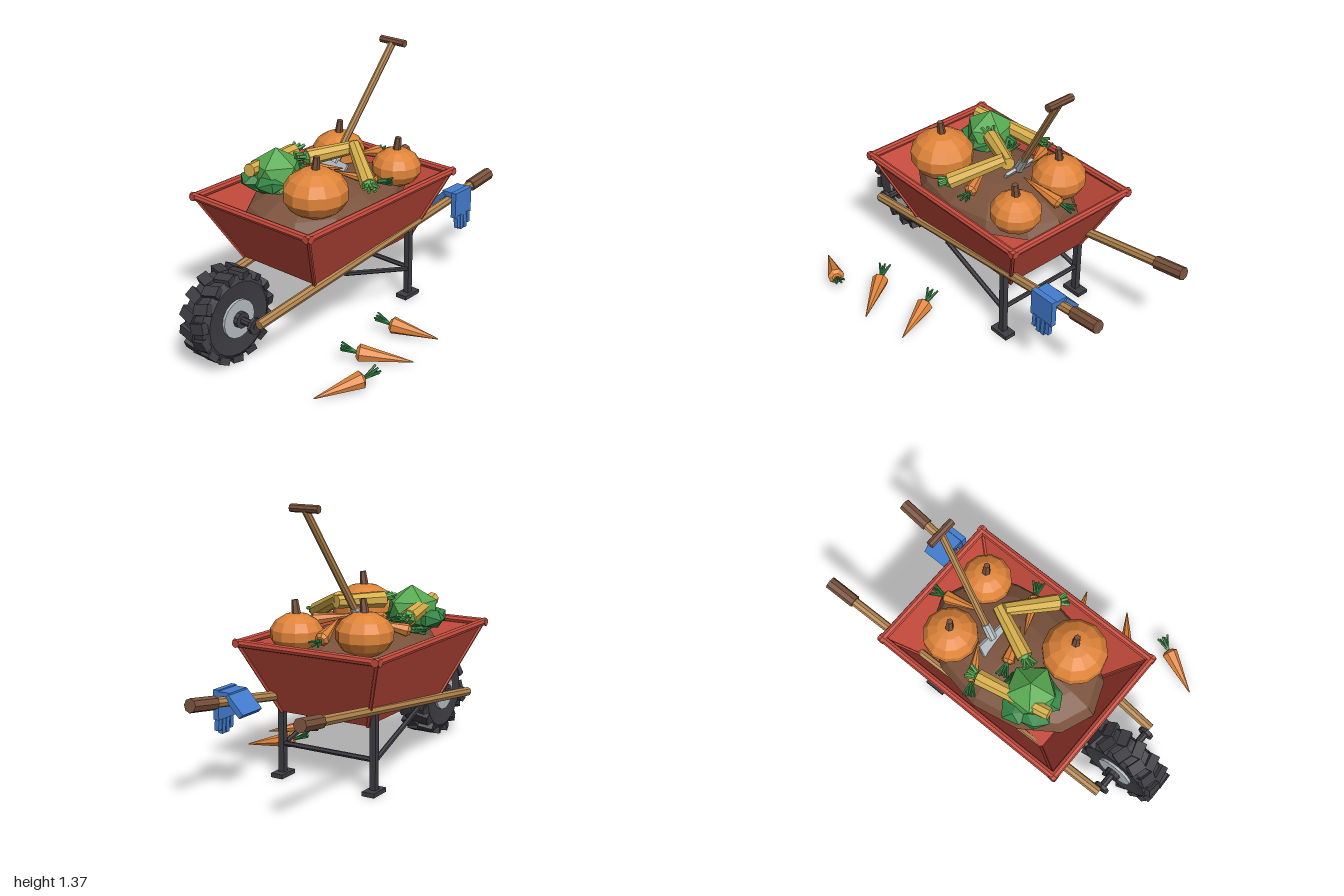
import * as THREE from 'three';

const mat = (name, color, side = THREE.FrontSide) => {
  const m = new THREE.MeshStandardMaterial({ color, side });
  m.name = name;
  return m;
};
const V = (x, y, z) => new THREE.Vector3(x, y, z);
const UP = V(0, 1, 0);
const CX = -0.18; // centre line of the barrow

export function createModel() {
  const model = new THREE.Group();
  model.name = 'harvestWheelbarrow';
  const red = mat('tubRed', 0xc84c3d, THREE.DoubleSide);
  const wood = mat('wood', 0xb58750);
  const brown = mat('earthBrown', 0x7a523c);
  const black = mat('ironBlack', 0x3d3d43);
  const steel = mat('steel', 0xb6bec3);
  const orange = mat('orange', 0xdf8439);
  const green = mat('cabbageGreen', 0x56a950);
  const darkGreen = mat('leafGreen', 0x338445);
  const yellow = mat('cornYellow', 0xd8b04b);
  const blue = mat('gloveBlue', 0x437dd0);

  // Faceted mesh
  const add = (parent, name, geo, material) => {
    const g = geo.index ? geo.toNonIndexed() : geo;
    g.computeVertexNormals();
    const mesh = new THREE.Mesh(g, material);
    mesh.name = name;
    parent.add(mesh);
    return mesh;
  };
  const group = (name) => {
    const g = new THREE.Group();
    g.name = name;
    model.add(g);
    return g;
  };
  // Straight rod from a (radius ra) to b (radius rb)
  const rod = (parent, name, a, b, ra, rb, sides, material) => {
    const d = b.clone().sub(a);
    const m = add(parent, name, new THREE.CylinderGeometry(rb, ra, d.length(), sides), material);
    m.position.copy(a).add(b).multiplyScalar(0.5);
    m.quaternion.setFromUnitVectors(UP, d.normalize());
    return m;
  };
  const box = (parent, name, w, h, d, x, y, z, material) => {
    const m = add(parent, name, new THREE.BoxGeometry(w, h, d), material);
    m.position.set(x, y, z);
    return m;
  };

  // Tub: open tapered tray with rim and corner rods
  const tub = group('tub');
  const ring = (hx, y, z0, z1) => [V(CX - hx, y, z1), V(CX + hx, y, z1), V(CX + hx, y, z0), V(CX - hx, y, z0)];
  const top = ring(0.385, 0.697, -0.515, 0.59), low = ring(0.243, 0.34, -0.35, 0.4);
  const pts = [];
  const quad = (a, b, c, d) => pts.push(a, b, c, a, c, d);
  for (let i = 0; i < 4; i++) {
    const j = (i + 1) % 4;
    quad(low[i], low[j], top[j], top[i]);
    const over = top[j].clone().sub(top[i]).setLength(0.02);
    rod(tub, 'rim', top[i].clone().sub(over), top[j].clone().add(over), 0.02, 0.02, 8, red);
    rod(tub, 'cornerRod', low[i], top[i], 0.011, 0.011, 6, red);
  }
  quad(low[3], low[2], low[1], low[0]);
  add(tub, 'tubWalls', new THREE.BufferGeometry().setFromPoints(pts), red);

  // Handles, legs and braces, mirrored about the centre line
  const frame = group('frame');
  for (const s of [-1, 1]) {
    const X = (o) => CX + s * o;
    const front = V(X(0.22), 0.26, 0.765), back = V(X(0.294), 0.51, -0.99);
    rod(frame, 'handle', front, back, 0.025, 0.025, 8, wood);
    rod(frame, 'grip', front.clone().lerp(back, 0.91), front.clone().lerp(back, 1.005), 0.034, 0.034, 8, brown);
    box(frame, 'leg', 0.032, 0.41, 0.032, X(0.262), 0.22, -0.32, black);
    box(frame, 'foot', 0.066, 0.022, 0.115, X(0.262), 0.012, -0.32, black);
    rod(frame, 'brace', V(X(0.262), 0.16, -0.32), V(X(0.235), 0.305, 0.16), 0.013, 0.013, 6, black);
    rod(frame, 'axleBracket', V(X(0.178), 0.243, 0.76), V(X(0.198), 0.243, 0.76), 0.042, 0.042, 8, black);
    rod(frame, 'hubFlange', V(X(0.085), 0.243, 0.76), V(X(0.108), 0.243, 0.76), 0.042, 0.042, 10, black);
  }
  rod(frame, 'crossBar', V(CX - 0.262, 0.17, -0.32), V(CX + 0.262, 0.17, -0.32), 0.013, 0.013, 6, black);
  rod(frame, 'axle', V(CX - 0.2, 0.243, 0.76), V(CX + 0.2, 0.243, 0.76), 0.019, 0.019, 8, black);

  // Wheel with staggered slanted lugs
  const wheel = group('wheel');
  wheel.position.set(CX, 0.243, 0.76);
  const profile = [[0.095, -0.07], [0.19, -0.08], [0.222, -0.06], [0.222, 0.06], [0.19, 0.08], [0.095, 0.07]]
    .map((p) => new THREE.Vector2(...p));
  add(wheel, 'tyre', new THREE.LatheGeometry(profile, 24).rotateZ(Math.PI / 2), black);
  add(wheel, 'hub', new THREE.CylinderGeometry(0.1, 0.1, 0.17, 16).rotateZ(Math.PI / 2), steel);
  for (let i = 0; i < 30; i++) {
    const s = i % 2 ? 1 : -1;
    const lug = new THREE.BoxGeometry(0.085, 0.036, 0.055).rotateY(s * 0.3)
      .translate(s * 0.038, 0.218, 0).rotateX((i / 30) * Math.PI * 2);
    add(wheel, 'treadLug', lug, black);
  }

  // Soil: shallow dome filling the tub
  const load = group('load');
  const soil = add(load, 'soil', new THREE.SphereGeometry(1, 12, 4, 0, Math.PI * 2, 0, Math.PI / 2), brown);
  soil.scale.set(0.342, 0.15, 0.5);
  soil.position.set(CX, 0.6, 0.036);

  // Pumpkins: x, y, z, radius, half height
  for (const [x, y, z, r, h] of [[-0.025, 0.77, 0.285, 0.168, 0.127], [-0.345, 0.755, -0.25, 0.143, 0.11], [0.002, 0.733, -0.31, 0.132, 0.102]]) {
    const p = add(load, 'pumpkin', new THREE.SphereGeometry(1, 12, 7), orange);
    p.scale.set(r, h, r);
    p.position.set(x, y, z);
    rod(load, 'pumpkinStem', V(x, y + h - 0.015, z), V(x + 0.01, y + h + 0.062, z), 0.023, 0.016, 6, brown);
  }

  // Cabbage head with outer leaves
  const head = add(load, 'cabbage', new THREE.IcosahedronGeometry(0.142, 0).rotateZ(-0.553), green);
  head.position.set(-0.325, 0.778, 0.25);
  for (let i = 0; i < 5; i++) {
    const a = (i / 5) * Math.PI * 2 + 0.9;
    const leaf = add(load, 'cabbageLeaf', new THREE.IcosahedronGeometry(1, 0), darkGreen);
    leaf.scale.set(0.088, 0.052, 0.088);
    leaf.rotation.y = a;
    leaf.position.set(-0.345 + 0.085 * Math.cos(a), 0.757, 0.265 + 0.08 * Math.sin(a));
  }

  // Fan of thin leaves at p pointing along d
  const tuft = (parent, p, d, length, r, material) => {
    const side = V(-d.z, 0, d.x).normalize();
    for (let i = -2; i <= 2; i++) {
      const tip = d.clone().addScaledVector(side, i * 0.2).addScaledVector(UP, i % 2 ? 0.1 : 0.35);
      rod(parent, 'leafStalk', p, p.clone().addScaledVector(tip, length), r, r * 0.7, 5, material);
    }
  };
  // Carrots: crown to tip
  const carrot = (parent, crown, tip, r) => {
    const d = crown.clone().sub(tip).normalize();
    const end = crown.clone().addScaledVector(d, 0.015);
    rod(parent, 'carrot', tip, crown, 0.003, r, 7, orange);
    rod(parent, 'carrotCrown', crown, end, r, r * 0.55, 7, orange);
    tuft(parent, end, d, 0.075, 0.008, darkGreen);
  };
  carrot(load, V(-0.45, 0.745, -0.02), V(-0.29, 0.79, -0.11), 0.034);
  carrot(load, V(0.07, 0.75, -0.05), V(-0.12, 0.78, 0.04), 0.034);
  carrot(load, V(-0.2, 0.74, -0.4), V(-0.16, 0.8, -0.19), 0.036);
  carrot(load, V(-0.27, 0.77, 0.06), V(-0.1, 0.79, 0.0), 0.034);
  const spilled = group('spilledCarrots');
  carrot(spilled, V(0.29, 0.055, 0.065), V(0.51, 0.016, -0.025), 0.045);
  carrot(spilled, V(0.34, 0.055, 0.385), V(0.555, 0.016, 0.23), 0.045);
  carrot(spilled, V(0.505, 0.055, 0.565), V(0.405, 0.016, 0.785), 0.045);

  // Corn cobs with husk leaves at the base
  const corn = (a, b) => {
    rod(load, 'cornCob', a, b, 0.043, 0.034, 8, yellow);
    const d = b.clone().sub(a).normalize();
    rod(load, 'cornHusk', a.clone().addScaledVector(d, -0.025), a, 0.015, 0.038, 6, green);
    tuft(load, a.clone().addScaledVector(d, 0.02), d.clone().negate(), 0.08, 0.013, green);
  };
  corn(V(-0.435, 0.8, 0.01), V(-0.365, 0.83, 0.4));
  corn(V(-0.225, 0.855, 0.13), V(-0.11, 0.87, -0.13));
  corn(V(0.12, 0.775, 0.055), V(-0.11, 0.885, -0.1));

  // Spade stuck in the soil
  const spade = group('spade');
  const bottom = V(-0.222, 0.8, -0.1), grip = V(-0.135, 1.352, -0.44);
  rod(spade, 'spadeShaft', bottom, grip, 0.019, 0.019, 8, wood);
  rod(spade, 'spadeGrip', V(-0.212, 1.354, -0.44), V(-0.058, 1.354, -0.44), 0.02, 0.02, 8, brown);
  const dir = grip.clone().sub(bottom).normalize();
  rod(spade, 'spadeSocket', bottom.clone().addScaledVector(dir, -0.04), bottom.clone().addScaledVector(dir, 0.06), 0.026, 0.024, 8, steel);
  const blade = box(spade, 'spadeBlade', 0.175, 0.2, 0.016, 0, 0, 0, steel);
  blade.position.copy(bottom).addScaledVector(dir, -0.12);
  blade.quaternion.setFromUnitVectors(UP, dir);

  // Glove draped over the left handle
  const glove = group('glove');
  const cuff = box(glove, 'gloveCuff', 0.12, 0.03, 0.15, 0.05, 0.46, -0.687, blue);
  cuff.rotation.z = 0.8;
  box(glove, 'glovePalm', 0.08, 0.028, 0.134, 0.118, 0.505, -0.687, blue);
  box(glove, 'gloveBack', 0.03, 0.145, 0.142, 0.158, 0.452, -0.683, blue);
  for (let i = 0; i < 4; i++) {
    const h = [0.07, 0.085, 0.085, 0.065][i];
    const finger = box(glove, 'gloveFinger', 0.024, h, 0.024, 0.165, 0.388 - h / 2, -0.64 - i * 0.03, blue);
    finger.rotation.z = 0.06;
  }
  return model;
}
